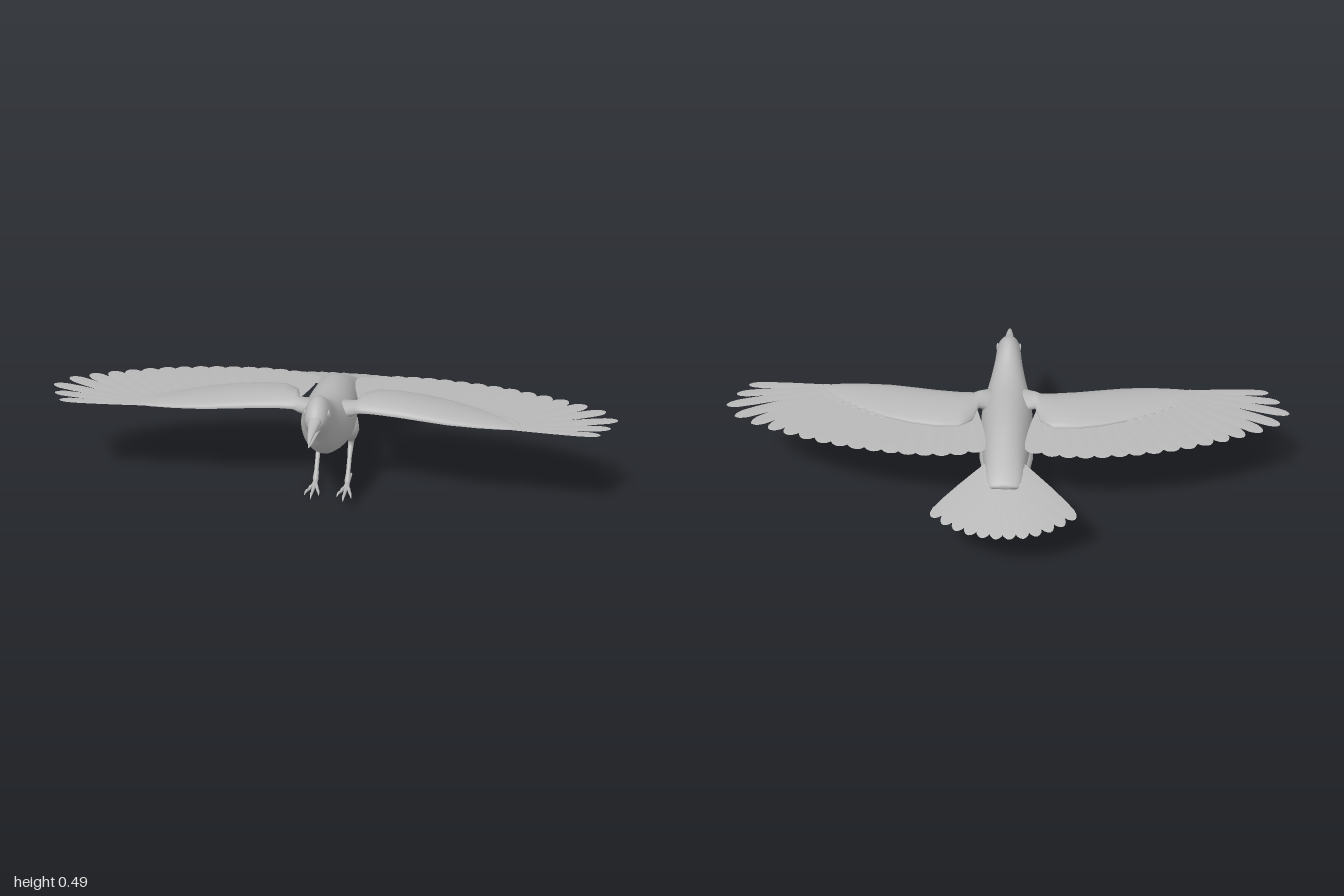
import * as THREE from 'three';

const V = (x, y, z) => new THREE.Vector3(x, y, z);
const plumage = new THREE.MeshStandardMaterial({ color: 0xb8b8b8, side: THREE.DoubleSide });
plumage.name = 'plain grey';

function makeMesh(name, points, index) {
  const g = new THREE.BufferGeometry().setFromPoints(points);
  g.setIndex(index);
  g.computeVertexNormals();
  const m = new THREE.Mesh(g, plumage);
  m.name = name;
  return m;
}

// Skin closed rings of points, cap both ends, and turn the faces outward
function loft(name, rings) {
  const n = rings[0].length, pts = rings.flat(), idx = [];
  for (let r = 0; r < rings.length - 1; r++) {
    for (let i = 0; i < n; i++) {
      const a = r * n + i, b = r * n + (i + 1) % n;
      idx.push(a, b, a + n, b, b + n, a + n);
    }
  }
  [0, rings.length - 1].forEach((r, k) => {
    const c = pts.length;
    pts.push(rings[r].reduce((s, p) => s.add(p), V(0, 0, 0)).divideScalar(n));
    for (let i = 0; i < n; i++) {
      const a = r * n + i, b = r * n + (i + 1) % n;
      idx.push(...(k ? [a, b, c] : [b, a, c]));
    }
  });
  let volume = 0;
  for (let i = 0; i < idx.length; i += 3) {
    volume += pts[idx[i]].dot(pts[idx[i + 1]].clone().cross(pts[idx[i + 2]]));
  }
  if (volume < 0) idx.reverse();
  return makeMesh(name, pts, idx);
}

// Oval sections along z, each given as [z, top, bottom, half width]
function ovalLoft(name, rows, n = 32) {
  return loft(name, rows.map(([z, top, bot, w]) => Array.from({ length: n }, (_, i) => {
    const a = i / n * Math.PI * 2;
    return V(w * Math.cos(a), (top + bot) / 2 + (top - bot) / 2 * Math.sin(a), z);
  })));
}

// Round limb through points, each given as [x, y, z, radius]
function limb(name, rows, n = 12) {
  const p = rows.map(r => V(r[0], r[1], r[2]));
  return loft(name, rows.map((r, k) => {
    const t = p[Math.min(k + 1, p.length - 1)].clone().sub(p[Math.max(k - 1, 0)]).normalize();
    const v = t.clone().cross(V(1, 0, 0)).normalize(), u = v.clone().cross(t);
    return Array.from({ length: n }, (_, i) => {
      const a = i / n * Math.PI * 2;
      return p[k].clone().addScaledVector(u, r[3] * Math.cos(a)).addScaledVector(v, r[3] * Math.sin(a));
    });
  }));
}

// Thin rounded blade with a slightly raised shaft
const BLADE = [[0, 0.45], [0.25, 0.7], [0.5, 0.9], [0.75, 1], [0.9, 0.93], [0.96, 0.68], [0.99, 0.35], [1, 0.06]];
function feather(name, root, tip, width) {
  const dir = tip.clone().sub(root), side = dir.clone().cross(V(0, 1, 0)).normalize();
  const pts = [], idx = [];
  BLADE.forEach(([t, w], k) => {
    [-0.5, 0, 0.5].forEach(s => {
      const p = root.clone().addScaledVector(dir, t).addScaledVector(side, s * w * width);
      if (s === 0) p.y += 0.002 * w;
      pts.push(p);
    });
    if (k) for (let j = 0; j < 2; j++) {
      const a = (k - 1) * 3 + j;
      idx.push(a, a + 1, a + 3, a + 1, a + 4, a + 3);
    }
  });
  return makeMesh(name, pts, idx);
}

const spline = pts => new THREE.CatmullRomCurve3(pts.map(([x, z]) => V(x, 0, z)));

// Arm sections: [x, leading z, trailing z, top y, bottom y]
const ARM = [[0.05, 0.16, 0.05, 0.395, 0.33], [0.1, 0.136, 0.06, 0.395, 0.345], [0.118, 0.132, -0.02, 0.396, 0.352],
  [0.165, 0.135, -0.06, 0.398, 0.357], [0.25, 0.147, -0.06, 0.396, 0.358], [0.33, 0.163, -0.044, 0.392, 0.358],
  [0.42, 0.18, -0.013, 0.386, 0.358], [0.52, 0.187, 0.037, 0.379, 0.358], [0.6, 0.185, 0.088, 0.373, 0.358],
  [0.645, 0.18, 0.125, 0.369, 0.359], [0.665, 0.17, 0.148, 0.365, 0.36]];
const TIPS = [[0.1, -0.19], [0.16, -0.206], [0.22, -0.212], [0.28, -0.213], [0.34, -0.209], [0.4, -0.202],
  [0.46, -0.193], [0.52, -0.182], [0.58, -0.168], [0.64, -0.152], [0.7, -0.132], [0.76, -0.11],
  [0.82, -0.085], [0.885, -0.055], [0.95, -0.015], [0.99, 0.05], [0.965, 0.118], [0.93, 0.175]];

function makeWing(s, label) {
  const wing = new THREE.Group();
  wing.name = label + 'Wing';
  wing.add(loft('wingArm', ARM.map(([x, zf, zb, top, bot]) => {
    const edge = 0.364;
    return Array.from({ length: 20 }, (_, i) => {
      const a = i / 20 * Math.PI * 2, h = Math.sin(a);
      const c = (1 + Math.cos(a)) / 2;
      const fall = h > 0 ? 0.45 + 0.55 * Math.sqrt(c) : 1;
      return V(s * x, edge + (h > 0 ? (top - edge) * h * fall * 1.15 : (edge - bot) * h), zb + (zf - zb) * c);
    });
  })));
  // Flight feathers fan from the arm to the wing edge
  const roots = spline([[0.12, 0.04], [0.25, 0], [0.4, 0.045], [0.53, 0.11], [0.61, 0.15], [0.62, 0.172]]);
  TIPS.forEach(([x, z], i) => {
    const r = roots.getPoint(i / (TIPS.length - 1)), outer = Math.max(0, (i - 9) / 8);
    const y = 0.364 - 0.0005 * (i % 3);
    wing.add(feather('flightFeather', V(s * r.x, y, r.z),
      V(s * x, 0.352 + 0.01 * i / 17, z), 0.076 - 0.038 * outer));
  });
  // Small scalloped coverts round the outer arm
  const rim = spline([[0.43, 0.0], [0.52, 0.045], [0.6, 0.096], [0.64, 0.13], [0.65, 0.165]]);
  for (let i = 0; i < 12; i++) {
    const p = rim.getPoint(i / 11), a = 0.9 - i / 11 * 0.95;
    wing.add(feather('covert', V(s * (p.x - 0.04 * Math.cos(a)), 0.369, p.z + 0.04 * Math.sin(a)),
      V(s * (p.x + 0.018 * Math.cos(a)), 0.366, p.z - 0.018 * Math.sin(a)), 0.03));
  }
  return wing;
}

function makeLeg(s, label) {
  const leg = new THREE.Group();
  leg.name = label + 'Leg';
  const x = s * 0.058;
  leg.add(limb('thighAndShank', [[x, 0.26, -0.015, 0.036], [x, 0.215, -0.04, 0.037], [x, 0.185, -0.062, 0.028],
    [x, 0.16, -0.085, 0.018], [x, 0.14, -0.098, 0.012], [x, 0.12, -0.083, 0.01], [x, 0.09, -0.058, 0.008],
    [x, 0.045, -0.024, 0.008], [x, 0.022, -0.008, 0.011], [x, 0.008, 0, 0.008]], 16));
  [[0, 0.115], [-0.026, 0.085], [0.026, 0.088], [0.004, -0.092]].forEach(([dx, z]) => {
    const at = (t, y, r) => [x + s * dx * t, y, z * t, r];
    leg.add(limb('toe', [at(0, 0.013, 0.008), at(0.25, 0.009, 0.006), at(0.45, 0.011, 0.0065), at(0.6, 0.008, 0.005),
      at(0.75, 0.011, 0.0055), at(0.88, 0.011, 0.004), at(1, 0.003, 0.001)], 10));
  });
  return leg;
}

export function createModel() {
  const bird = new THREE.Group();
  bird.name = 'bird';

  // Head and body
  bird.add(ovalLoft('body', [[0.39, 0.443, 0.404, 0.014], [0.375, 0.45, 0.401, 0.022], [0.36, 0.463, 0.394, 0.03],
    [0.345, 0.478, 0.383, 0.036], [0.325, 0.49, 0.367, 0.041], [0.3, 0.495, 0.342, 0.045], [0.28, 0.492, 0.314, 0.048],
    [0.26, 0.483, 0.287, 0.052], [0.235, 0.466, 0.263, 0.059], [0.21, 0.449, 0.243, 0.066], [0.17, 0.432, 0.219, 0.077],
    [0.13, 0.42, 0.205, 0.086], [0.08, 0.415, 0.19, 0.091], [0.03, 0.412, 0.177, 0.092], [-0.01, 0.409, 0.17, 0.09],
    [-0.05, 0.404, 0.171, 0.087], [-0.09, 0.397, 0.182, 0.083], [-0.13, 0.386, 0.196, 0.078], [-0.17, 0.37, 0.213, 0.073],
    [-0.21, 0.353, 0.235, 0.069], [-0.25, 0.334, 0.256, 0.064], [-0.28, 0.318, 0.27, 0.058], [-0.3, 0.304, 0.278, 0.048]]));

  // Parted beak
  bird.add(ovalLoft('upperBeak', [[0.35, 0.465, 0.42, 0.027], [0.38, 0.449, 0.42, 0.02], [0.41, 0.442, 0.421, 0.015],
    [0.44, 0.436, 0.42, 0.011], [0.465, 0.428, 0.416, 0.007], [0.482, 0.42, 0.413, 0.004], [0.49, 0.415, 0.412, 0.001]], 16));
  bird.add(ovalLoft('lowerBeak', [[0.35, 0.416, 0.392, 0.025], [0.38, 0.414, 0.4, 0.018], [0.42, 0.41, 0.4, 0.012],
    [0.46, 0.406, 0.4, 0.007], [0.487, 0.404, 0.401, 0.001]], 16));

  // Fanned tail on a downward slope
  const tailPoint = (r, a) => {
    const z = -0.14 - r * Math.cos(a);
    return V(r * Math.sin(a), 0.285 + 0.3 * (z + 0.29), z);
  };
  for (let i = 0; i < 12; i++) {
    const a = (i / 11 - 0.5) * 1.44;
    bird.add(feather('tailFeather', tailPoint(0.06, a), tailPoint(0.35 + 0.015 * Math.abs(a), a), 0.056));
  }

  // Layered feathers over and under the tail root
  for (let k = 0; k < 5; k++) {
    for (let j = -1.5; j <= 1.5; j++) {
      const x = j * 0.03, drop = 0.004 * Math.abs(j);
      bird.add(feather('tailCovert', V(x, 0.226 + 0.026 * k - drop, -0.17),
        V(x * 1.15, 0.24 + 0.015 * k - drop, -0.306 + 0.006 * Math.abs(j)), 0.042));
    }
  }

  for (const [s, label] of [[1, 'left'], [-1, 'right']]) {
    bird.add(makeWing(s, label), makeLeg(s, label));
    const eye = new THREE.Mesh(new THREE.SphereGeometry(0.009, 16, 12), plumage);
    eye.name = label + 'Eye';
    eye.position.set(s * 0.036, 0.447, 0.318);
    const lid = new THREE.Mesh(new THREE.TorusGeometry(0.011, 0.0025, 8, 24), plumage);
    lid.name = label + 'Eyelid';
    lid.position.set(s * 0.041, 0.447, 0.318);
    lid.rotation.y = s * (Math.PI / 2 - 0.12);
    bird.add(eye, lid);
  }
  return bird;
}
